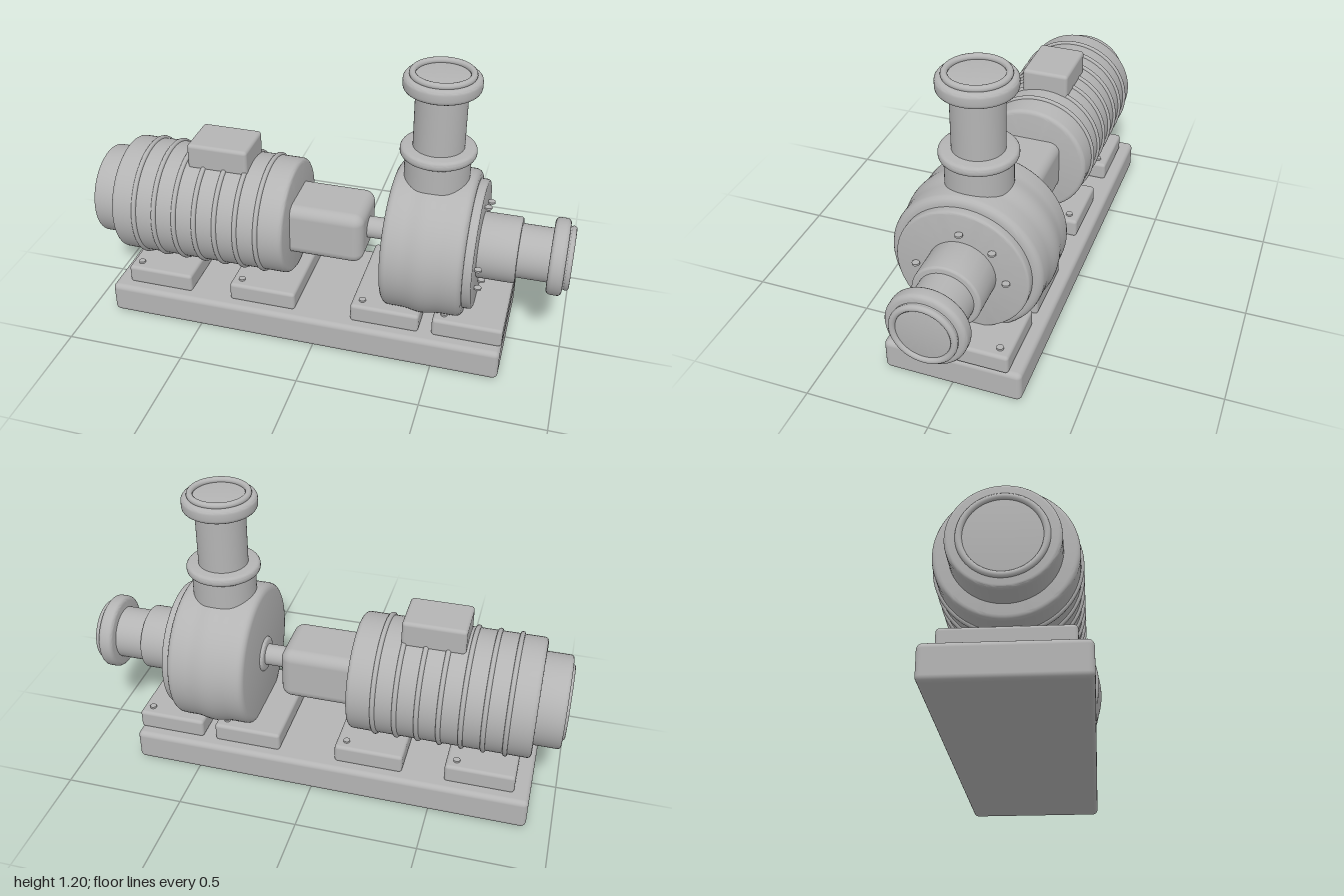
import * as THREE from 'three';
import { toCreasedNormals } from 'three/addons/utils/BufferGeometryUtils.js';
import { RoundedBoxGeometry } from 'three/addons/geometries/RoundedBoxGeometry.js';

const AXIS_Y = 0.455; // height of the shaft line
const OUTLET_X = 0.437; // centre of the casing and discharge pipe

export function createModel() {
  const model = new THREE.Group();
  const castMetal = new THREE.MeshStandardMaterial({ color: 0xb4b4b4 });
  castMetal.name = 'cast metal grey';

  function add(name, geometry, x = 0, y = 0, z = 0) {
    const mesh = new THREE.Mesh(geometry, castMetal);
    mesh.name = name;
    mesh.position.set(x, y, z);
    model.add(mesh);
    return mesh;
  }

  // Box given by its limits in x and y, centred on z
  function box(name, x0, x1, y0, y1, depth, round) {
    const geometry = new RoundedBoxGeometry(x1 - x0, y1 - y0, depth, 4, round);
    return add(name, geometry, (x0 + x1) / 2, (y0 + y1) / 2, 0);
  }

  function lathe(profile) {
    const points = profile.map(([r, y]) => new THREE.Vector2(r, y));
    return toCreasedNormals(new THREE.LatheGeometry(points, 72), 0.55);
  }

  // Quarter-round corner as profile points
  function fillet(r, y, b, startAngle) {
    return [0, 1, 2, 3, 4].map((i) => {
      const a = startAngle + (i / 4) * (Math.PI / 2);
      return [r + b * Math.cos(a), y + b * Math.sin(a)];
    });
  }

  // Solid disc or drum from a to b with rounded rims
  function drum(radius, a, b, round, middle = []) {
    return lathe([
      [0, a], ...fillet(radius - round, a + round, round, -Math.PI / 2),
      ...middle,
      ...fillet(radius - round, b - round, round, 0), [0, b],
    ]);
  }

  const alongShaft = (name, geometry) => add(name, geometry.rotateZ(-Math.PI / 2), 0, AXIS_Y, 0);
  const upright = (name, geometry) => add(name, geometry, OUTLET_X, 0, 0);
  const ring = (radius, tube) => new THREE.TorusGeometry(radius, tube, 12, 72);

  // Base plate, mounting pads and their bolts
  box('basePlate', -0.9, 0.775, 0, 0.135, 0.56, 0.022);
  for (const x of [-0.693, -0.233, 0.292, 0.632]) {
    box('mountingPad', x - 0.143, x + 0.143, 0.13, 0.212, 0.46, 0.014);
    for (const s of [-1, 1]) {
      add('padBolt', new THREE.CylinderGeometry(0.014, 0.014, 0.012, 16), x + s * 0.1, 0.214, -s * 0.185);
    }
  }

  // Motor body, cooling ribs and rear cowl
  alongShaft('motorBody', drum(0.245, -0.882, -0.135, 0.018));
  for (let i = 0; i < 7; i++) {
    add('coolingRib', ring(0.245, 0.01).rotateY(Math.PI / 2), -0.778 + i * 0.0885, AXIS_Y, 0);
  }
  alongShaft('motorRearCowl', drum(0.19, -0.99, -0.87, 0.014));
  add('cowlRing', ring(0.142, 0.012).rotateY(Math.PI / 2), -0.988, AXIS_Y, 0);
  box('terminalBox', -0.58, -0.323, 0.67, 0.782, 0.2, 0.015);

  // Coupling guard and shaft
  box('couplingGuard', -0.23, 0.17, 0.34, 0.567, 0.262, 0.045);
  alongShaft('driveShaft', new THREE.CylinderGeometry(0.045, 0.045, 0.2, 32).translate(0, 0.21, 0));
  alongShaft('shaftSeal', drum(0.075, 0.262, 0.29, 0.012));

  // Pump casing with a shallow swelling around its middle
  const swelling = [];
  for (let i = 0; i <= 12; i++) {
    const t = i / 6 - 1;
    swelling.push([0.302 + 0.005 * (1 + Math.cos(Math.PI * t)), OUTLET_X + t * 0.08]);
  }
  alongShaft('pumpCasing', drum(0.302, 0.275, 0.602, 0.028, swelling));
  alongShaft('casingCover', drum(0.265, 0.59, 0.636, 0.01));

  // Cover bolts around the inlet
  for (const degrees of [0, 45, 90, 180, 225, 270]) {
    const a = THREE.MathUtils.degToRad(degrees);
    add('coverBolt', new THREE.CylinderGeometry(0.015, 0.015, 0.008, 16),
      0.65, AXIS_Y + 0.179 * Math.sin(a), -0.179 * Math.cos(a));
  }

  // Suction inlet
  alongShaft('inletNeck', drum(0.135, 0.62, 0.79, 0.01));
  alongShaft('inletPipe', new THREE.CylinderGeometry(0.11, 0.11, 0.17, 64).translate(0, 0.855, 0));
  alongShaft('inletFlange', drum(0.156, 0.913, 0.975, 0.018));
  alongShaft('inletFace', drum(0.128, 0.965, 0.988, 0.006));
  add('inletRing', ring(0.117, 0.013).rotateY(Math.PI / 2), 0.987, AXIS_Y, 0);

  // Discharge outlet
  upright('outletNeck', new THREE.CylinderGeometry(0.13, 0.13, 0.26, 64).translate(0, 0.73, 0));
  upright('outletLowerFlange', drum(0.15, 0.846, 0.886, 0.016));
  upright('outletPipe', new THREE.CylinderGeometry(0.101, 0.101, 0.28, 64).translate(0, 1.01, 0));
  upright('outletFlange', drum(0.15, 1.124, 1.184, 0.018));
  add('outletRing', ring(0.115, 0.013).rotateX(Math.PI / 2), OUTLET_X, 1.19, 0);

  return model;
}
